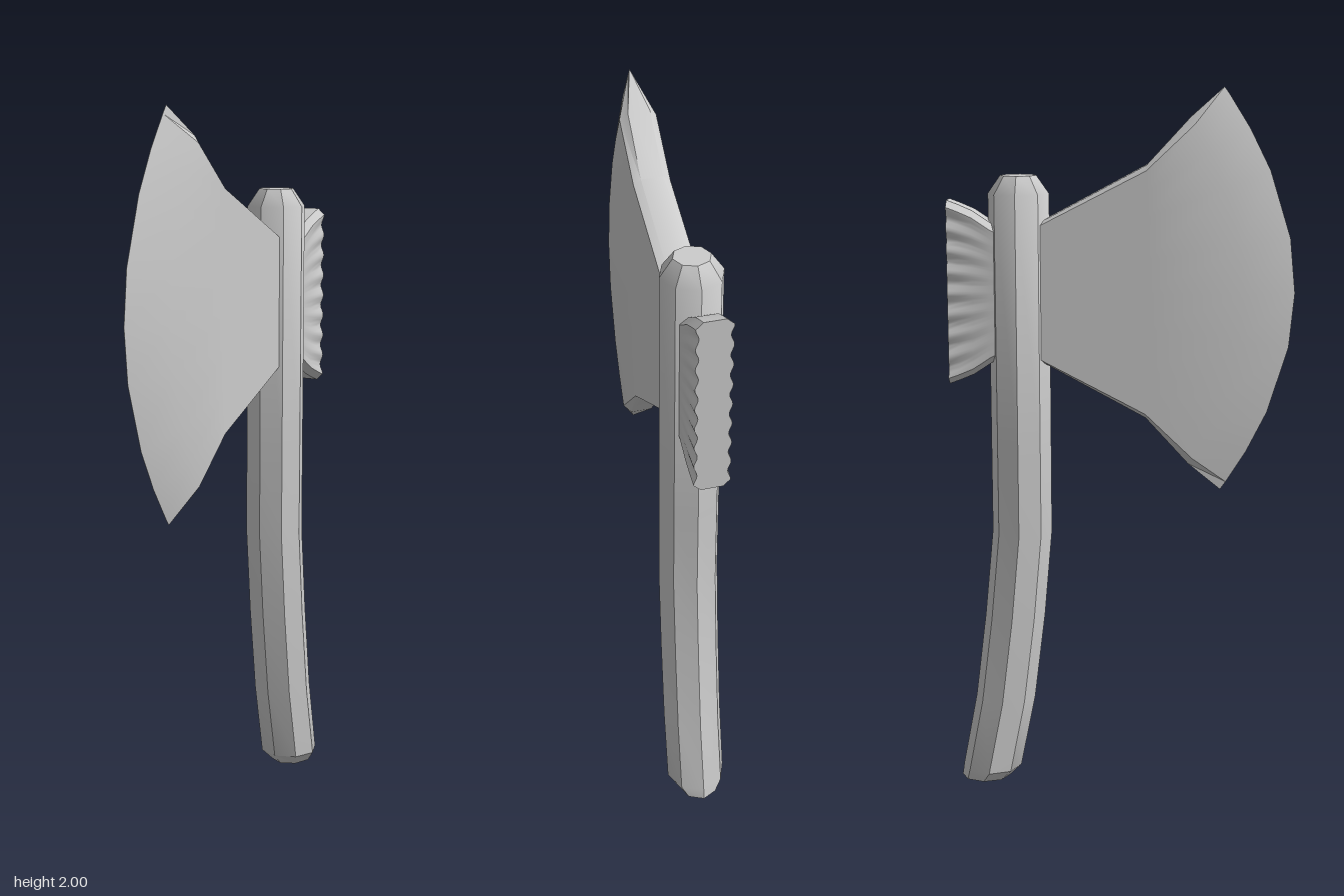
import * as THREE from 'three';
import { toCreasedNormals } from 'three/addons/utils/BufferGeometryUtils.js';

// Skin a series of equal-length closed loops and close both ends
function loft(name, loops) {
  const n = loops[0].length;
  const index = [];
  const quad = (a, b, c, d) => index.push(a, b, c, a, c, d);
  for (let j = 0; j < loops.length - 1; j++) {
    for (let i = 0; i < n; i++) {
      const k = (i + 1) % n;
      quad(j * n + i, (j + 1) * n + i, (j + 1) * n + k, j * n + k);
    }
  }
  const last = (loops.length - 1) * n;
  for (let i = 0; i < n / 2 - 1; i++) {
    quad(i, i + 1, n - 2 - i, n - 1 - i);
    quad(last + n - 1 - i, last + n - 2 - i, last + i + 1, last + i);
  }
  const geometry = new THREE.BufferGeometry();
  geometry.setAttribute('position', new THREE.Float32BufferAttribute(loops.flat(2), 3));
  geometry.setIndex(index);
  const mesh = new THREE.Mesh(
    toCreasedNormals(geometry, 0.6),
    new THREE.MeshStandardMaterial({ color: 0xcccccc })
  );
  mesh.name = name;
  return mesh;
}

// Loop symmetric in x: down the +x side, back up the -x side
function mirrored(half) {
  return [...half, ...half.map(([x, y, z]) => [-x, y, z]).reverse()];
}

// Octagonal handle, swept back at the foot, chamfered at both ends
function makeHandle() {
  // y, centre z, radius in x, radius in z
  const rings = [
    [0, -0.4, 0.058, 0.07],
    [0.035, -0.38, 0.085, 0.085],
    [0.25, -0.338, 0.085, 0.086],
    [0.5, -0.307, 0.085, 0.086],
    [0.75, -0.284, 0.085, 0.085],
    [1.0, -0.284, 0.085, 0.085],
    [1.71, -0.284, 0.085, 0.085],
    [1.76, -0.284, 0.05, 0.05],
  ];
  return loft('handle', rings.map(([y, z, rx, rz]) =>
    Array.from({ length: 8 }, (_, i) => {
      const a = (i * Math.PI) / 4;
      return [rx * Math.cos(a), y, z + rz * Math.sin(a)];
    })));
}

// Flaring blade with chamfered rims and a curved cutting edge
function makeBlade() {
  const rows = [1, 0.96, 0.8, 0.6, 0.27, 0, -0.27, -0.6, -0.8, -0.96, -1];
  // z at the rims, z at mid height, half height, face x, rim x
  const stations = [
    [-0.28, -0.28, 0.16, 0.05, 0.03],
    [-0.21, -0.21, 0.2, 0.05, 0.03],
    [0.07, 0.07, 0.35, 0.05, 0.03],
    [0.19, 0.34, 0.48, 0.05, 0.03],
    [0.28, 0.48, 0.56, 0.0005, 0.0005],
  ];
  return loft('blade', stations.map(([zRim, zMid, h, face, rim]) =>
    mirrored(rows.map((t) => [
      Math.abs(t) === 1 ? rim : face,
      1.44 + t * h,
      zRim + (zMid - zRim) * (1 - t * t),
    ]))));
}

// Poll behind the handle, its sides rippling towards the back face
function makePoll() {
  const count = 64, ripples = 8;
  // z, half height, ripple depth
  const stations = [
    [-0.48, 0.256, 0.009],
    [-0.45, 0.245, 0.006],
    [-0.41, 0.228, 0.003],
    [-0.36, 0.195, 0],
    [-0.29, 0.16, 0],
  ];
  return loft('poll', stations.map(([z, h, depth]) => {
    const half = [[0.03, 1.437 + h, z]];
    for (let i = 0; i <= count; i++) {
      const t = 1 - (2 * i) / count;
      const wave = 0.5 - 0.5 * Math.cos((i / count) * ripples * Math.PI * 2);
      half.push([0.05 - depth * wave, 1.437 + t * (h - 0.018), z]);
    }
    half.push([0.03, 1.437 - h, z]);
    return mirrored(half);
  }));
}

export function createModel() {
  const axe = new THREE.Group();
  axe.name = 'axe';
  axe.add(makeHandle(), makeBlade(), makePoll());
  return axe;
}
